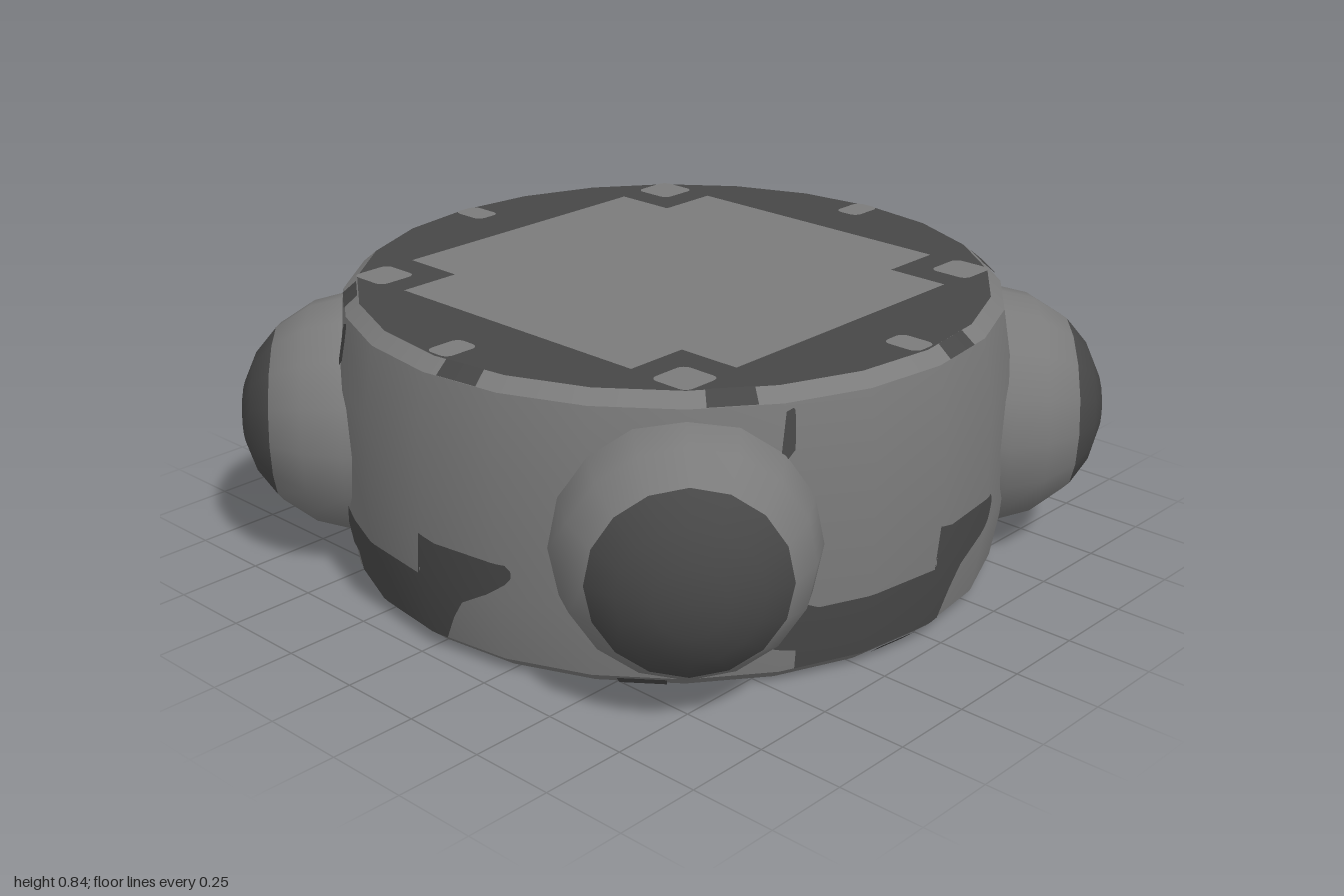
import * as THREE from 'three';

const grey = new THREE.MeshStandardMaterial({ name: 'mid grey', color: 0x7b7b7b });
const dark = new THREE.MeshStandardMaterial({ name: 'dark grey', color: 0x474747 });

const SIDES = 24, TOP = 0.834, MID = 0.42, RAD = Math.PI / 180;
// drum outline as [radius, y]
const PROFILE = [[0.91, 0.003], [0.95, 0.038], [0.984, 0.24], [0.984, 0.6], [0.95, 0.8], [0.91, TOP]];

function add(parent, name, geometry, material) {
  const mesh = new THREE.Mesh(geometry, material);
  mesh.name = name;
  parent.add(mesh);
  return mesh;
}

function lathe(from, to) {
  return new THREE.LatheGeometry(PROFILE.slice(from, to).map(p => new THREE.Vector2(...p)), SIDES);
}

// radius of the faceted drum at a given angle and height
function drumRadius(angle, y) {
  let i = 0;
  while (i < PROFILE.length - 2 && y > PROFILE[i + 1][1]) i++;
  const [r0, y0] = PROFILE[i], [r1, y1] = PROFILE[i + 1];
  const half = Math.PI / SIDES, step = 2 * half;
  const local = ((angle % step) + step) % step - half;
  return (r0 + (r1 - r0) * (y - y0) / (y1 - y0)) * Math.cos(half) / Math.cos(local);
}

// painted patch hugging the drum; knots are [angle, lowY, highY]
function patchGeometry(knots, slope = 0) {
  const rows = 8, cols = [];
  knots.forEach((k, n) => {
    if (n === 0) return cols.push(k);
    const p = knots[n - 1], parts = Math.max(1, Math.ceil((k[0] - p[0]) / (1.5 * RAD)));
    for (let s = 1; s <= parts; s++) cols.push(p.map((v, c) => v + (k[c] - v) * s / parts));
  });
  const pos = [], nor = [], idx = [];
  cols.forEach(([a, lo, hi], i) => {
    for (let j = 0; j <= rows; j++) {
      const y = lo + (hi - lo) * j / rows, r = drumRadius(a, y) + 0.004;
      pos.push(Math.sin(a) * r, y + slope * 0.003, Math.cos(a) * r);
      const n = new THREE.Vector3(Math.sin(a), slope || (y - MID) * 0.4, Math.cos(a)).normalize();
      nor.push(n.x, n.y, n.z);
      if (i && j) {
        const d = i * (rows + 1) + j, c = d - rows - 1;
        idx.push(c - 1, d - 1, d, c - 1, d, c);
      }
    }
  });
  const g = new THREE.BufferGeometry();
  g.setAttribute('position', new THREE.Float32BufferAttribute(pos, 3));
  g.setAttribute('normal', new THREE.Float32BufferAttribute(nor, 3));
  g.setIndex(idx);
  return g;
}

const onDrum = list => list.map(([x, lo, hi]) => [Math.asin(x / 0.975), lo, hi]);

// rectangle with rounded corners
function roundedRect(x0, y0, x1, y1, r = 0.025) {
  const s = new THREE.Shape();
  s.absarc(x1 - r, y1 - r, r, 0, Math.PI / 2);
  s.absarc(x0 + r, y1 - r, r, Math.PI / 2, Math.PI);
  s.absarc(x0 + r, y0 + r, r, Math.PI, Math.PI * 1.5);
  s.absarc(x1 - r, y0 + r, r, Math.PI * 1.5, Math.PI * 2);
  return new THREE.ShapeGeometry(s, 3);
}

// flat end of the drum: dark disc with a notched square, tabs and corner spots
function createEnd(name) {
  const end = new THREE.Group();
  end.name = name;
  add(end, 'endDisc', new THREE.CircleGeometry(0.91, SIDES).rotateX(-Math.PI / 2), dark);
  const a = 0.635, b = 0.445;
  const cross = new THREE.Shape([
    [a, -b], [a, b], [b, b], [b, a], [-b, a], [-b, b],
    [-a, b], [-a, -b], [-b, -b], [-b, -a], [b, -a], [b, -b],
  ].map(p => new THREE.Vector2(...p)));
  const flat = (label, geo, turn = 0) => {
    const m = add(end, label, geo.rotateX(-Math.PI / 2), grey);
    m.rotation.y = turn;
    m.position.y = 0.003;
  };
  flat('centrePanel', new THREE.ShapeGeometry(cross));
  for (let k = 0; k < 4; k++) {
    flat('edgeTab', roundedRect(0.79, -0.042, 0.904, 0.042), k * Math.PI / 2);
    flat('cornerSpot', roundedRect(0.525, 0.525, 0.652, 0.652), k * Math.PI / 2);
  }
  return end;
}

export function createModel() {
  const model = new THREE.Group();
  model.name = 'drumWithDomes';

  // drum wall and bevelled rims
  add(model, 'drumWall', lathe(1, 5), grey);
  add(model, 'lowerBevel', lathe(0, 2), grey);
  add(model, 'upperBevel', lathe(4, 6), grey);

  // ends
  const top = createEnd('topEnd');
  top.position.y = TOP;
  const bottom = createEnd('bottomEnd');
  bottom.position.y = 0.003;
  bottom.rotation.x = Math.PI;
  model.add(top, bottom);

  // dark marks on the bevels
  const mark = (angle, lo, hi) => [[angle - 4 * RAD, lo, hi], [angle + 4 * RAD, lo, hi]];
  for (let k = 0; k < 8; k++) {
    const turn = k * 45 * RAD;
    add(model, 'upperBevelMark', patchGeometry(mark(turn + 7 * RAD, 0.8, TOP), 1), dark);
    add(model, 'lowerBevelMark', patchGeometry(mark(turn - 7 * RAD, 0.003, 0.038), -1), dark);
  }

  // wall stains and domes, repeated on each quarter
  const stain = patchGeometry(onDrum([
    [-0.56, 0.13, 0.16], [-0.45, 0.1, 0.25], [-0.449, 0.04, 0.25], [-0.4, 0.04, 0.225],
    [-0.02, 0.04, 0.225], [-0.008, 0.04, 0.35], [0.05, 0.04, 0.335], [0.09, 0.12, 0.335],
    [0.13, 0.18, 0.335], [0.22, 0.235, 0.335], [0.28, 0.28, 0.335], [0.295, 0.3, 0.32],
  ]));
  const streak = patchGeometry(onDrum([
    [-0.5, 0.65, 0.67], [-0.485, 0.66, 0.78], [-0.467, 0.68, 0.787], [-0.463, 0.74, 0.78],
  ]));
  const capAngle = 47.5 * RAD, R = 0.354;
  const cap = new THREE.SphereGeometry(R, 16, 3, 0, Math.PI * 2, 0, capAngle);
  const band = new THREE.SphereGeometry(R, 16, 3, 0, Math.PI * 2, capAngle, 105 * RAD - capAngle);
  for (let k = 0; k < 4; k++) {
    const turn = k * Math.PI / 2;
    add(model, 'wallStain', stain, dark).rotation.y = turn;
    add(model, 'wallStreak', streak, dark).rotation.y = turn;

    const dome = new THREE.Group();
    dome.name = 'dome';
    add(dome, 'domeCap', cap, dark);
    add(dome, 'domeBand', band, grey);
    const a = turn + Math.PI / 4;
    dome.position.set(0.914 * Math.cos(a), MID, -0.914 * Math.sin(a));
    dome.rotation.set(0, a, -Math.PI / 2);
    model.add(dome);
  }
  return model;
}
